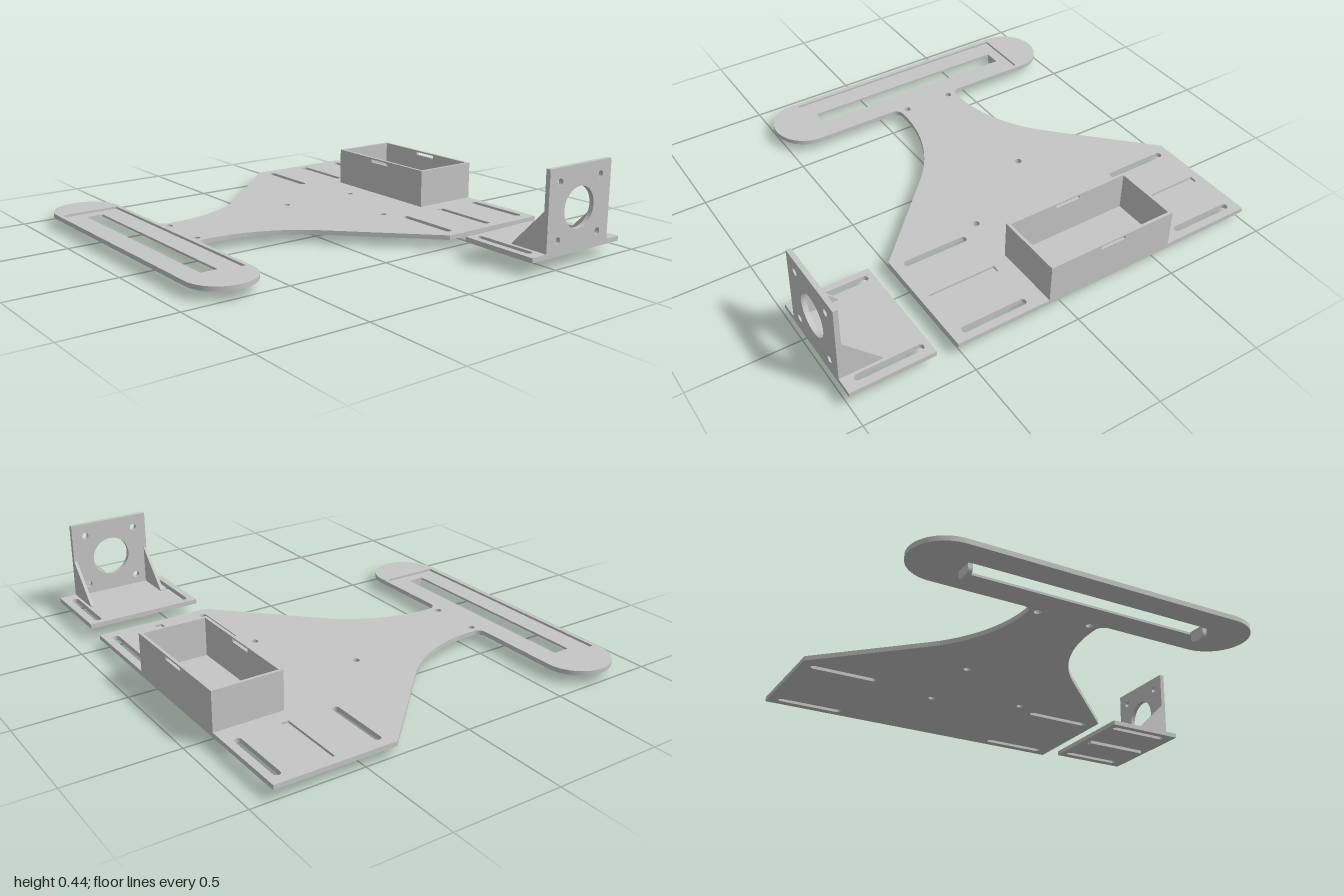
import * as THREE from 'three';

const grey = new THREE.MeshStandardMaterial({ color: 0xc6c6c6 });
grey.name = 'light grey';

const MID = -0.241; // z of the chassis mirror line

function path(points) {
  return new THREE.Path(points.map(([x, y]) => new THREE.Vector2(x, y)));
}

// Rectangle path from x0..x1 and y0..y1
function rect(x0, x1, y0, y1) {
  return path([[x0, y0], [x1, y0], [x1, y1], [x0, y1]]);
}

function circle(x, y, r) {
  const p = new THREE.Path();
  p.absarc(x, y, r, 0, Math.PI * 2, false);
  return p;
}

// Round-ended slot running along the second axis
function slot(x, y0, y1, r) {
  const p = new THREE.Path();
  p.absarc(x, y1 - r, r, 0, Math.PI, false);
  p.absarc(x, y0 + r, r, Math.PI, Math.PI * 2, false);
  p.closePath();
  return p;
}

function extrude(outline, holes, depth) {
  const shape = new THREE.Shape(outline.getPoints(20));
  shape.holes = holes;
  return new THREE.ExtrudeGeometry(shape, { depth, bevelEnabled: false, curveSegments: 20 });
}

// Flat slab: drawn in (x, -z), raised from y0 to y1
function slab(outline, holes, y0, y1) {
  return extrude(outline, holes, y1 - y0).rotateX(-Math.PI / 2).translate(0, y0, 0);
}

// Side panel: drawn in (-z, y), thickened from x0 to x1
function sidePanel(outline, holes, x0, x1) {
  return extrude(outline, holes, x1 - x0).rotateY(Math.PI / 2).translate(x0, 0, 0);
}

function box(x0, x1, y0, y1, z0, z1) {
  return new THREE.BoxGeometry(x1 - x0, y1 - y0, z1 - z0)
    .translate((x0 + x1) / 2, (y0 + y1) / 2, (z0 + z1) / 2);
}

function add(parent, name, geometry) {
  const mesh = new THREE.Mesh(geometry, grey);
  mesh.name = name;
  parent.add(mesh);
}

// Half of the chassis edge, as (x, distance from mirror line), tail to nose
function halfOutline() {
  const half = new THREE.Path();
  const r = 0.159, end = 0.759;
  half.absarc(-0.741, end - r, r, Math.PI, 0, true);
  half.absarc(-0.542, 0.199, 0.04, Math.PI, Math.PI * 1.5, false);
  half.absarc(-0.527, 0.839, 0.68, Math.PI * 1.5, Math.PI * 1.75, false);
  half.lineTo(0.355, end);
  half.lineTo(0.9, end);
  return half.getPoints(24);
}

function buildChassis() {
  const g = new THREE.Group();
  g.name = 'chassis';
  const half = halfOutline();
  const back = half.map(p => [p.x, p.y - MID]);
  const front = half.map(p => [p.x, -p.y - MID]).reverse();
  const outline = path([...back, ...front]);

  // Screw holes and adjustment slots pass through both layers
  const holes = [[-0.562, -0.363], [-0.562, -0.121], [0.082, -0.348], [0.468, -0.339], [0.347, 0.067]]
    .map(([x, z]) => circle(x, -z, 0.016));
  for (const x of [0.403, 0.848]) {
    holes.push(slot(x, 0.645, 0.953, 0.016), slot(x, -0.469, -0.157, 0.016));
  }
  add(g, 'lowerPlate', slab(outline, [...holes, rect(-0.783, -0.702, -0.28, 0.761)], 0.042, 0.052));

  // Upper layer leaves the sensor recess and two locating grooves
  const recesses = [
    rect(-0.88, -0.602, -0.333, 0.817),
    rect(0.61, 0.646, 0.637, 0.957),
    rect(0.61, 0.646, -0.477, -0.154),
  ];
  add(g, 'upperPlate', slab(outline, [...holes, ...recesses], 0.052, 0.063));

  // Rounded tabs hanging below the ends of the long opening
  const tab = new THREE.Path();
  tab.moveTo(-0.781, 0.043);
  tab.lineTo(-0.781, 0.025);
  tab.absarc(-0.756, 0.025, 0.025, Math.PI, Math.PI * 1.5, false);
  tab.absarc(-0.728, 0.025, 0.025, Math.PI * 1.5, Math.PI * 2, false);
  tab.lineTo(-0.703, 0.043);
  for (const z of [-0.781, 0.282]) add(g, 'tab', extrude(tab, [], 0.02).translate(0, 0, z));
  return g;
}

function buildTray() {
  const g = new THREE.Group();
  g.name = 'batteryTray';
  const t = 0.014, x0 = 0.58, x1 = 0.9, z0 = -0.558, z1 = 0.075, y0 = 0.063, y1 = 0.241;
  // Long walls have a strap slot near the rim
  for (const x of [x0, x1 - t]) {
    const strap = rect(0.177, 0.302, 0.218, 0.233);
    add(g, 'slottedWall', sidePanel(rect(-z1, -z0, y0, y1), [strap], x, x + t));
  }
  for (const z of [z0, z1 - t]) add(g, 'endWall', box(x0 + t, x1 - t, y0, y1, z, z + t));
  return g;
}

function buildBracket() {
  const g = new THREE.Group();
  g.name = 'motorBracket';
  const slots = [0.403, 0.848].map(x => slot(x, -0.95, -0.643, 0.016));
  add(g, 'base', slab(rect(0.355, 0.9, -1, -0.615), slots, 0.058, 0.08));
  add(g, 'locatingRib', box(0.613, 0.643, 0.042, 0.058, 0.642, 0.958));

  // Upright face with shaft opening and four bolt holes
  const holes = [circle(0.627, 0.252, 0.092)];
  for (const x of [0.502, 0.752]) for (const y of [0.127, 0.377]) holes.push(circle(x, y, 0.016));
  add(g, 'motorPlate', extrude(rect(0.437, 0.819, 0.08, 0.439), holes, 0.022).translate(0, 0, 0.978));

  // Triangular gussets
  const gusset = path([[-0.978, 0.08], [-0.808, 0.08], [-0.808, 0.085], [-0.978, 0.259]]);
  for (const x of [0.437, 0.804]) add(g, 'gusset', sidePanel(gusset, [], x, x + 0.015));
  return g;
}

export function createModel() {
  const model = new THREE.Group();
  model.name = 'robotChassis';
  model.add(buildChassis(), buildTray(), buildBracket());
  return model;
}
